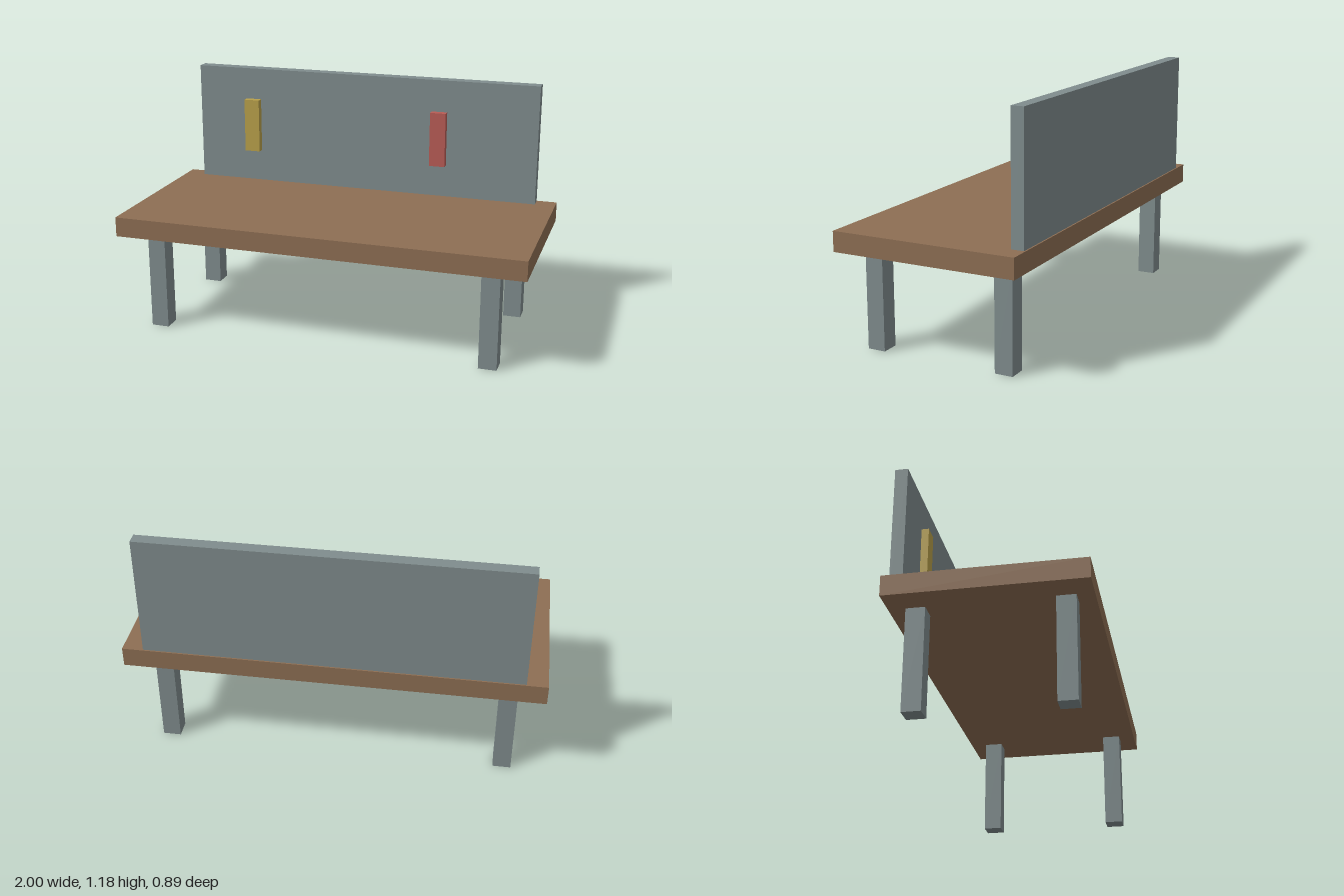
import * as THREE from 'three';

const material = (name, color) => {
  const m = new THREE.MeshStandardMaterial({ color });
  m.name = name;
  return m;
};

export function createModel() {
  const group = new THREE.Group();
  group.name = 'workbench';
  const wood = material('wood', 0x8d6e53);
  const steel = material('steel grey', 0x7f8c8d);
  const yellow = material('yellow handle', 0xb8a04a);
  const red = material('red handle', 0xb85c55);

  // Box given by its size and centre
  const box = (name, mat, [w, h, d], [x, y, z]) => {
    const mesh = new THREE.Mesh(new THREE.BoxGeometry(w, h, d), mat);
    mesh.name = name;
    mesh.position.set(x, y, z);
    group.add(mesh);
  };

  // Thick wooden top
  box('benchTop', wood, [2, 0.096, 0.894], [0, 0.528, 0]);

  // Four square legs
  for (const [side, x] of [['Left', 0.826], ['Right', -0.826]]) {
    for (const [end, z] of [['front', 0.326], ['back', -0.326]]) {
      box(`${end}${side}Leg`, steel, [0.087, 0.48, 0.087], [x, 0.24, z]);
    }
  }

  // Upright back panel
  box('backPanel', steel, [1.8, 0.6, 0.06], [0, 0.876, -0.41]);

  // Tools hung on the panel
  box('yellowTool', yellow, [0.08, 0.275, 0.035], [-0.6, 0.877, -0.3625]);
  box('redTool', red, [0.08, 0.275, 0.035], [0.4, 0.877, -0.3625]);

  return group;
}
